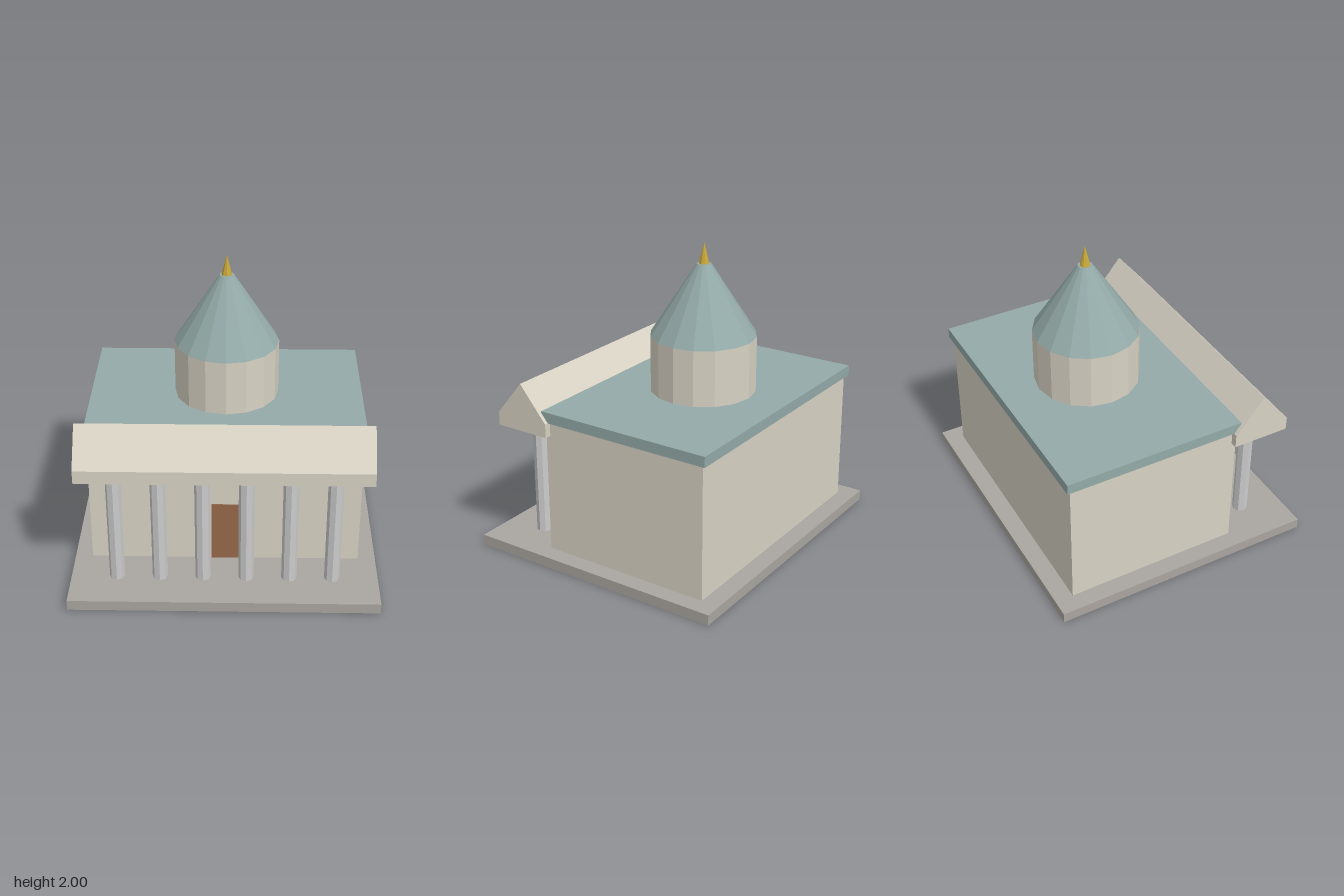
import * as THREE from 'three';

const STONE = 0xd8d2c4, GREEN = 0x93aaa8, GREY = 0xaaa5a0;

// Drops the faces that look straight down, leaving a shell open below
function openBelow(geometry) {
  const flat = geometry.index ? geometry.toNonIndexed() : geometry;
  const p = flat.attributes.position, tri = new THREE.Triangle(), n = new THREE.Vector3(), kept = [];
  for (let i = 0; i < p.count; i += 3) {
    tri.setFromAttributeAndIndices(p, i, i + 1, i + 2);
    if (tri.getNormal(n).y > -0.99) kept.push(...tri.a, ...tri.b, ...tri.c);
  }
  const out = new THREE.BufferGeometry();
  out.setAttribute('position', new THREE.Float32BufferAttribute(kept, 3));
  out.computeVertexNormals();
  return out;
}

// Box given by its extents on each axis
function box(x0, x1, y0, y1, z0, z1) {
  return new THREE.BoxGeometry(x1 - x0, y1 - y0, z1 - z0)
    .translate((x0 + x1) / 2, (y0 + y1) / 2, (z0 + z1) / 2);
}

// Upright faceted cylinder or cone between two heights
function round(rTop, rBottom, y0, y1, sides, x, z) {
  return new THREE.CylinderGeometry(rTop, rBottom, y1 - y0, sides)
    .translate(x, (y0 + y1) / 2, z);
}

export function createModel() {
  const model = new THREE.Group();
  model.name = 'domedHall';
  const add = (name, geometry, color, parent = model) => {
    const material = new THREE.MeshStandardMaterial({ color, flatShading: true, side: THREE.DoubleSide });
    const mesh = new THREE.Mesh(geometry, material);
    mesh.name = name;
    parent.add(mesh);
  };

  // Main building
  add('plinth', openBelow(box(-1, 1, 0, 0.07, -0.885, 0.885)), GREY);
  add('hall', openBelow(box(-0.885, 0.885, 0.07, 0.96, -0.765, 0.4)), STONE);
  add('roofSlab', openBelow(box(-0.905, 0.905, 0.96, 1.03, -0.79, 0.42)), GREEN);
  add('door', box(-0.09, 0.09, 0.07, 0.495, 0.395, 0.405), 0x96694a);

  // Portico: six columns under a long gabled beam
  const columns = new THREE.Group();
  columns.name = 'columns';
  model.add(columns);
  for (let i = 0; i < 6; i++) {
    add('column', round(0.05, 0.05, 0.07, 0.87, 8, -0.7 + i * 0.28, 0.61), 0xd0d0cd, columns);
  }
  const profile = new THREE.Shape([[-0.75, 0.87], [-0.37, 0.87], [-0.37, 0.96], [-0.56, 1.19], [-0.75, 0.96]]
    .map(([x, y]) => new THREE.Vector2(x, y)));
  const gable = new THREE.ExtrudeGeometry(profile, { depth: 1.86, bevelEnabled: false })
    .translate(0, 0, -0.93).rotateY(Math.PI / 2);
  add('porticoGable', openBelow(gable), STONE);

  // Tower with conical roof and finial
  add('drum', round(0.345, 0.345, 1.03, 1.4, 16, 0, -0.19), STONE);
  add('coneRoof', round(0.047, 0.345, 1.4, 1.865, 16, 0, -0.19), GREEN);
  add('finial', round(0, 0.034, 1.865, 2, 8, 0, -0.19), 0xc9a93c);

  return model;
}
